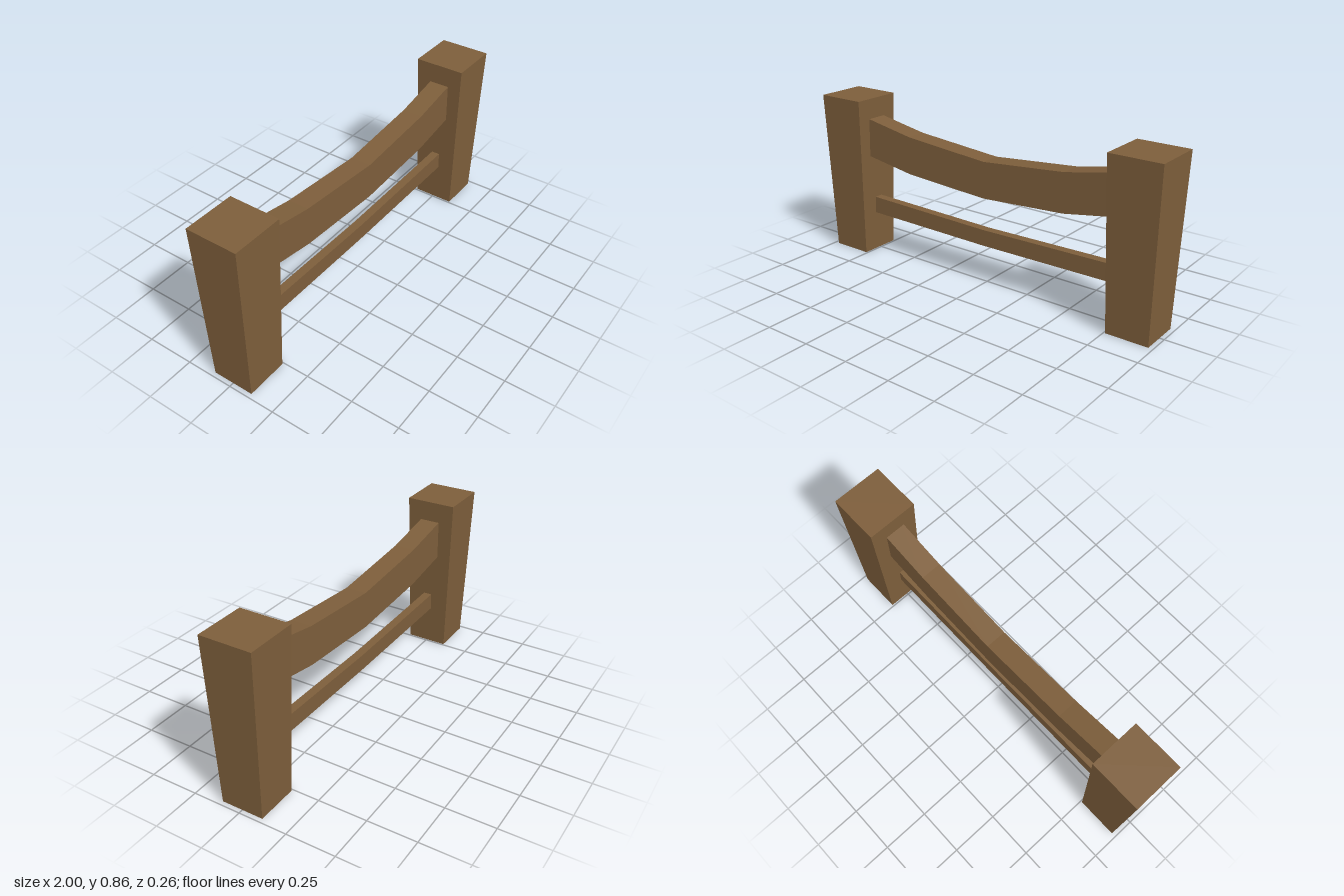
import * as THREE from 'three';

const wood = new THREE.MeshStandardMaterial({ color: 0x7d5e3b, side: THREE.DoubleSide });
wood.name = 'brown wood';

// Square post, tapering towards the ground and open underneath
function makePost() {
  const height = 0.86, top = 0.265, bottom = 0.218;
  const geo = new THREE.BoxGeometry(top, height, top);
  const pos = geo.attributes.position;
  for (let i = 0; i < pos.count; i++) {
    if (pos.getY(i) < 0) {
      pos.setX(i, pos.getX(i) * bottom / top);
      pos.setZ(i, pos.getZ(i) * bottom / top);
    }
  }
  // drop the underside (fourth face of the box)
  const index = Array.from(geo.index.array);
  index.splice(18, 6);
  geo.setIndex(index);
  geo.translate(0, height / 2, 0);
  geo.computeVertexNormals();
  return new THREE.Mesh(geo, wood);
}

// Sagging rail: stations are [x, bottom y, top y], extruded from zBack to zFront
function makeRail(stations, zBack, zFront) {
  const outline = [
    ...stations.map(([x, low]) => new THREE.Vector2(x, low)),
    ...stations.map(([x, , high]) => new THREE.Vector2(x, high)).reverse(),
  ];
  const geo = new THREE.ExtrudeGeometry(new THREE.Shape(outline), {
    depth: zFront - zBack, bevelEnabled: false,
  });
  geo.translate(0, 0, zBack);
  return new THREE.Mesh(geo, wood);
}

export function createModel() {
  const model = new THREE.Group();
  model.name = 'fence';

  // Posts at both ends
  for (const [name, side] of [['leftPost', 1], ['rightPost', -1]]) {
    const post = makePost();
    post.name = name;
    post.position.x = side * 0.8675;
    model.add(post);
  }

  // Thick upper rail
  const upper = makeRail([
    [-0.76, 0.55, 0.756], [-0.46, 0.502, 0.702], [0.02, 0.474, 0.662],
    [0.48, 0.502, 0.702], [0.76, 0.55, 0.756],
  ], -0.05, 0.057);
  upper.name = 'upperRail';
  model.add(upper);

  // Thin lower rail
  const lower = makeRail([
    [-0.77, 0.214, 0.305], [0, 0.206, 0.291], [0.77, 0.214, 0.305],
  ], -0.02, 0.025);
  lower.name = 'lowerRail';
  model.add(lower);

  return model;
}
